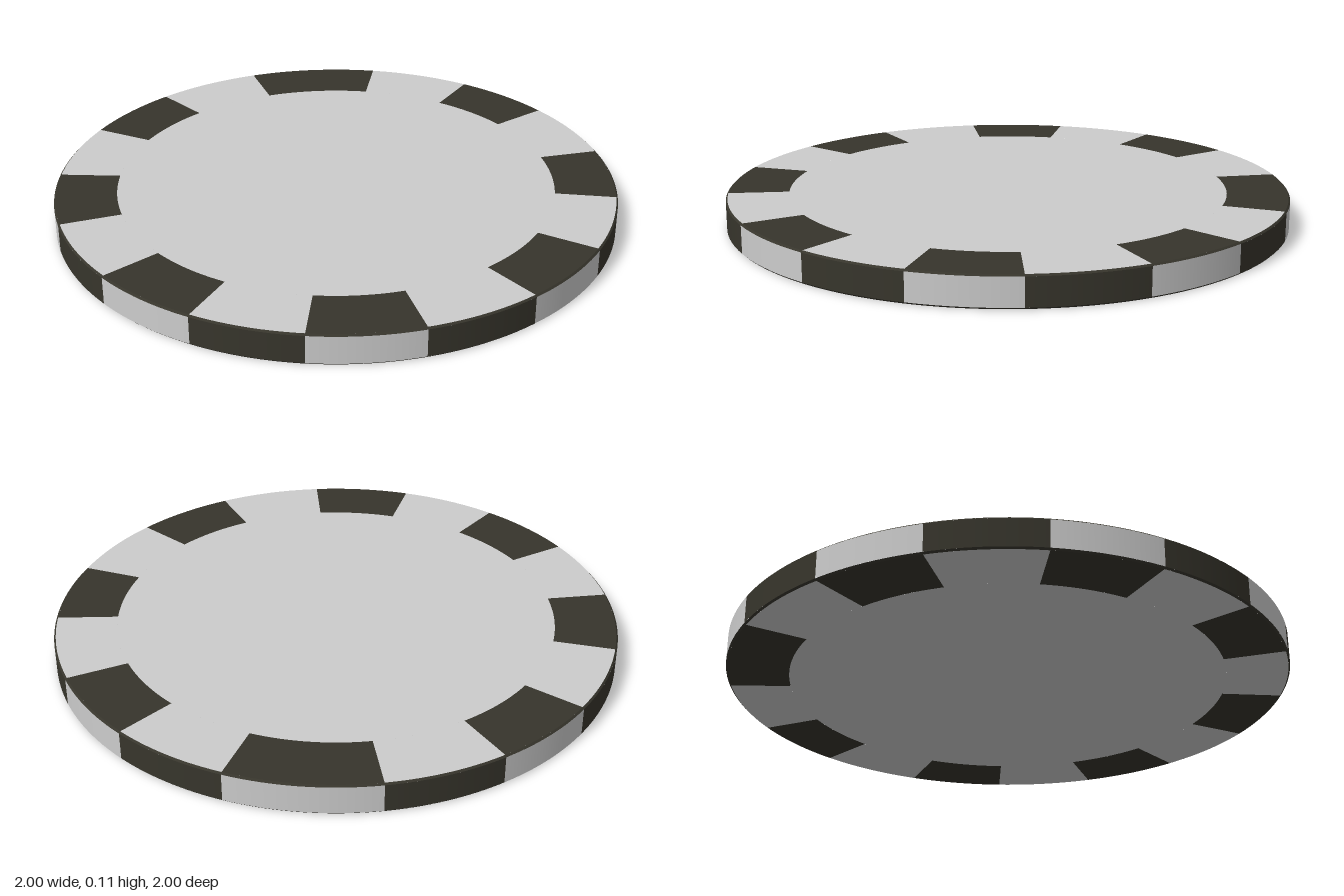
import * as THREE from 'three';

const H = 0.11;        // thickness
const R = 1;           // outer radius
const BEVEL = 0.006;   // small edge bevel
const INNER = 0.78;    // inner radius of the edge patches
const FACE = R - BEVEL;

// Start and end of each face patch, in degrees from +x towards +z
const PATCHES = [
  [10, 31.7], [54.4, 76], [97.6, 119.2], [141.5, 163],
  [185.2, 207.1], [230.5, 259.6], [282.6, 304.2], [327.2, 348.2],
];

export function createModel() {
  const light = new THREE.MeshStandardMaterial({ color: 0xcccccc });
  light.name = 'light grey';
  const dark = new THREE.MeshStandardMaterial({ color: 0x37352c });
  dark.name = 'dark olive';

  const chip = new THREE.Group();
  chip.name = 'chip';

  // Revolves one profile edge (r0,y0)-(r1,y1) over an arc; the path runs bottom, side, top
  const strip = (name, material, [r0, y0], [r1, y1], from = 0, to = 360) => {
    const geometry = new THREE.LatheGeometry(
      [new THREE.Vector2(r0, y0), new THREE.Vector2(r1, y1)],
      Math.max(8, Math.round((to - from) / 2)),
      THREE.MathUtils.degToRad(90 - to),
      THREE.MathUtils.degToRad(to - from),
    );
    const mesh = new THREE.Mesh(geometry, material);
    mesh.name = name;
    chip.add(mesh);
  };

  // Central discs and dark bevels
  strip('bottomDisc', light, [0, 0], [INNER, 0]);
  strip('topDisc', light, [INNER, H], [0, H]);
  strip('bottomBevel', dark, [FACE, 0], [R, BEVEL]);
  strip('topBevel', dark, [R, H - BEVEL], [FACE, H]);

  // Outer band: face patches are dark where the side is light, and the reverse in the gaps
  const sector = (name, faceMaterial, sideMaterial, from, to) => {
    strip(name + 'Bottom', faceMaterial, [INNER, 0], [FACE, 0], from, to);
    strip(name + 'Side', sideMaterial, [R, BEVEL], [R, H - BEVEL], from, to);
    strip(name + 'Top', faceMaterial, [FACE, H], [INNER, H], from, to);
  };
  PATCHES.forEach(([from, to], i) => {
    const next = i + 1 < PATCHES.length ? PATCHES[i + 1][0] : PATCHES[0][0] + 360;
    sector('patch', dark, light, from, to);
    sector('gap', light, dark, to, next);
  });

  return chip;
}
